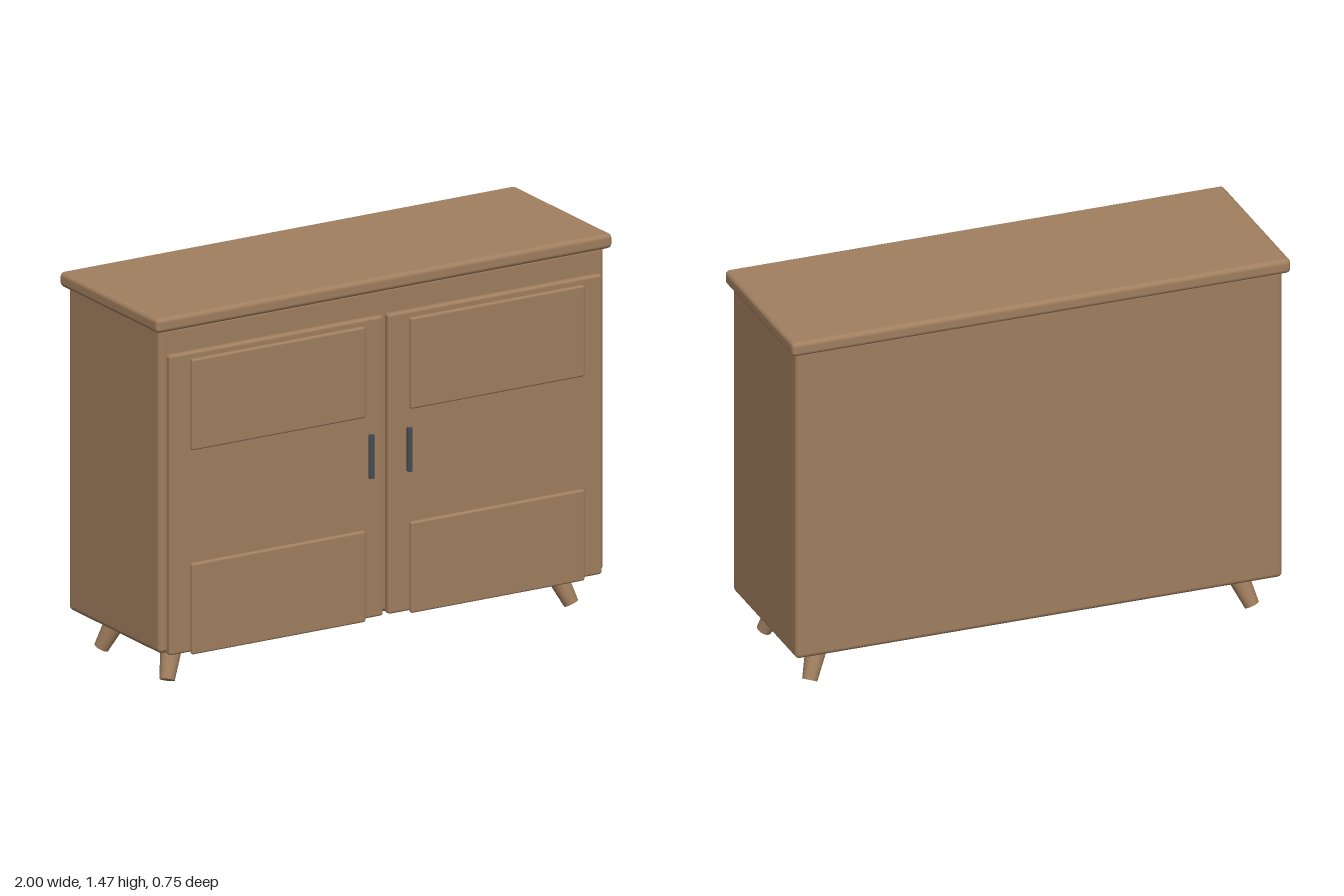
import * as THREE from 'three';
import { RoundedBoxGeometry } from 'three/addons/geometries/RoundedBoxGeometry.js';

const wood = new THREE.MeshStandardMaterial({ color: 0xa17f5f });
wood.name = 'wood';
const metal = new THREE.MeshStandardMaterial({ color: 0x444e54 });
metal.name = 'dark metal';

// Rounded box given by its extents on each axis
function slab(name, [x0, x1], [y0, y1], [z0, z1], radius) {
  const geo = new RoundedBoxGeometry(x1 - x0, y1 - y0, z1 - z0, 3, radius);
  const mesh = new THREE.Mesh(geo, wood);
  mesh.position.set((x0 + x1) / 2, (y0 + y1) / 2, (z0 + z1) / 2);
  mesh.name = name;
  return mesh;
}

// Tapered round leg running from its foot to the underside
function leg(name, foot, top) {
  const dir = top.clone().sub(foot);
  const geo = new THREE.CylinderGeometry(0.044, 0.029, dir.length(), 24);
  const mesh = new THREE.Mesh(geo, wood);
  mesh.position.copy(foot).add(top).multiplyScalar(0.5);
  mesh.quaternion.setFromUnitVectors(new THREE.Vector3(0, 1, 0), dir.normalize());
  mesh.name = name;
  return mesh;
}

// Door with two raised panels and a bar handle; x0 is its lower x edge
function door(side, x0, panelX, handleX) {
  const group = new THREE.Group();
  group.name = side + 'Door';
  group.add(slab('doorLeaf', [x0, x0 + 0.938], [0.15, 1.325], [0.3, 0.332], 0.01));
  for (const [name, y] of [['upperPanel', 0.945], ['lowerPanel', 0.145]]) {
    group.add(slab(name, [panelX, panelX + 0.762], [y, y + 0.357], [0.331, 0.352], 0.008));
  }
  const handle = new THREE.Mesh(new THREE.CylinderGeometry(0.011, 0.011, 0.17, 20), metal);
  handle.position.set(handleX, 0.795, 0.365);
  handle.name = 'handle';
  group.add(handle);
  return group;
}

export function createModel() {
  const model = new THREE.Group();
  model.name = 'sideboard';

  // Carcass and overhanging top
  model.add(slab('body', [-0.976, 0.976], [0.15, 1.425], [-0.35, 0.3], 0.02));
  model.add(slab('top', [-1, 1], [1.415, 1.473], [-0.375, 0.322], 0.018));

  // Doors
  model.add(door('right', -0.951, -0.864, -0.087));
  model.add(door('left', 0.009, 0.097, 0.081));

  // Splayed legs
  for (const [side, sx] of [['left', 1], ['right', -1]]) {
    for (const [end, zFoot, zTop] of [['Front', 0.208, 0.16], ['Back', -0.258, -0.21]]) {
      model.add(leg(side + end + 'Leg',
        new THREE.Vector3(sx * 0.886, 0.013, zFoot),
        new THREE.Vector3(sx * 0.834, 0.152, zTop)));
    }
  }
  return model;
}
